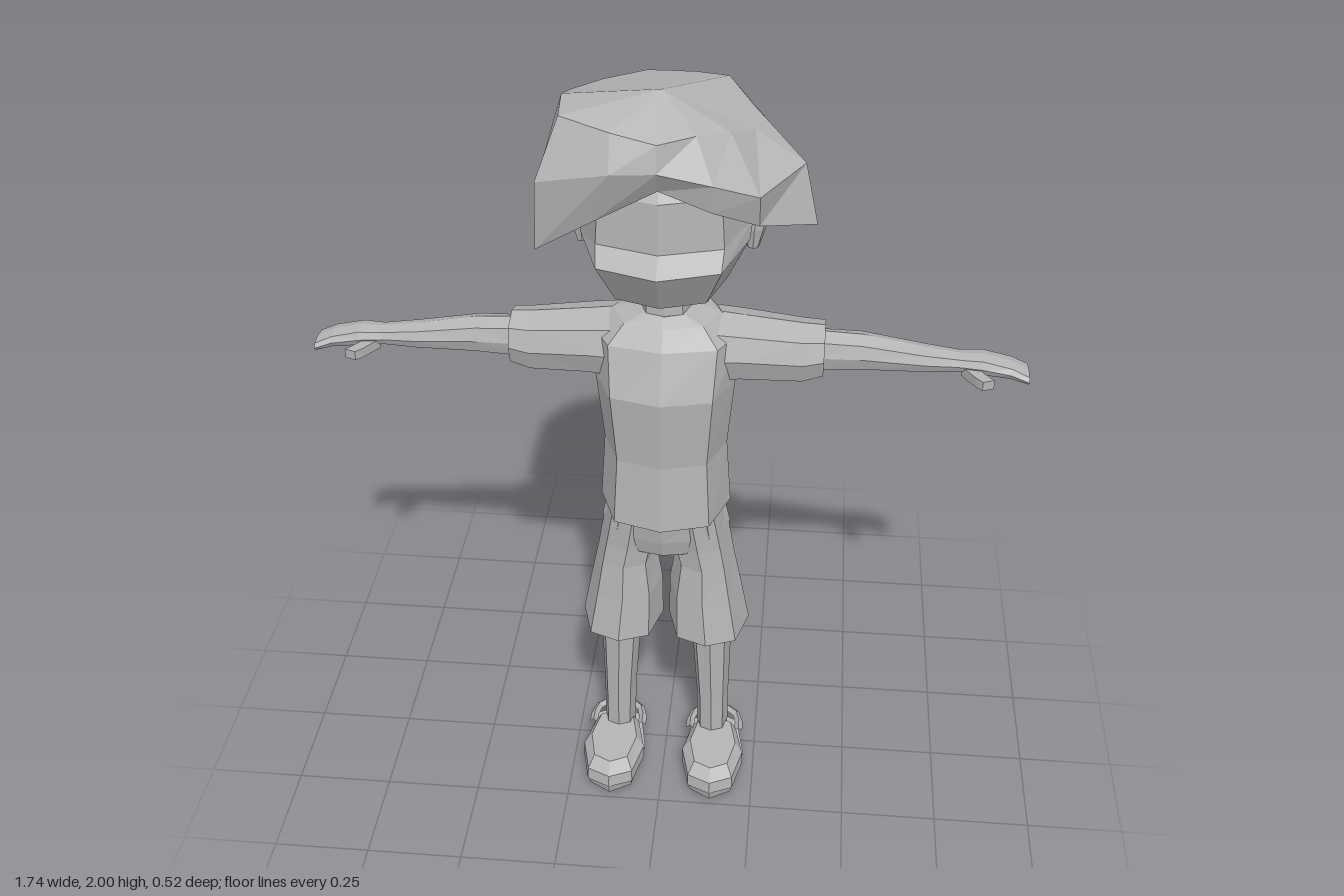
import * as THREE from 'three';

const OCT = [[0, 1], [0.72, 0.78], [1, 0], [0.72, -0.78], [0, -1], [-0.72, -0.78], [-1, 0], [-0.72, 0.78]];

// Eight-sided cross-section at t along an axis; the two ranges span the other axes
// (y: x and z, x: y and z)
function section(axis, t, a0, a1, b0, b1) {
  return OCT.map(([u, v]) => {
    const a = (a0 + a1) / 2 + u * (a1 - a0) / 2;
    const b = (b0 + b1) / 2 + v * (b1 - b0) / 2;
    return axis === 'y' ? [a, t, b] : [t, a, b];
  });
}

const centre = (ring) => [0, 1, 2].map((k) => ring.reduce((s, p) => s + p[k], 0) / ring.length);

// Closed, flat-faced skin through rings, turned outward by its signed volume
function loft(rings, start = centre(rings[0]), end = centre(rings.at(-1))) {
  const tris = [];
  const n = rings[0].length;
  const last = rings.at(-1);
  for (let i = 0; i < n; i++) {
    const j = (i + 1) % n;
    tris.push([start, rings[0][j], rings[0][i]], [end, last[i], last[j]]);
    for (let r = 0; r + 1 < rings.length; r++) {
      const a = rings[r], b = rings[r + 1];
      tris.push([a[i], a[j], b[j]], [a[i], b[j], b[i]]);
    }
  }
  let volume = 0;
  for (const t of tris) {
    const [a, b, c] = t.map((p) => new THREE.Vector3(p[0] - start[0], p[1] - start[1], p[2] - start[2]));
    volume += a.dot(b.cross(c));
  }
  if (volume < 0) tris.forEach((t) => t.reverse());
  const geometry = new THREE.BufferGeometry();
  geometry.setAttribute('position', new THREE.Float32BufferAttribute(tris.flat(2), 3));
  geometry.computeVertexNormals();
  return geometry;
}

const loftAlong = (axis, rows) => loft(rows.map((r) => section(axis, ...r)));

// Same skin on the other side of the body
const mirrorRows = (axis, rows, s) => rows.map(([t, a0, a1, b0, b1]) =>
  s > 0 ? [t, a0, a1, b0, b1] : axis === 'y' ? [t, -a1, -a0, b0, b1] : [-t, a0, a1, b0, b1]);

export function createModel() {
  const model = new THREE.Group();
  const grey = new THREE.MeshStandardMaterial({ color: 0xb4b4b4 });
  grey.name = 'plain grey';
  const add = (name, geometry) => {
    const mesh = new THREE.Mesh(geometry, grey);
    mesh.name = name;
    model.add(mesh);
    return mesh;
  };
  const addPair = (name, axis, rows) => {
    add('left' + name, loftAlong(axis, mirrorRows(axis, rows, 1)));
    add('right' + name, loftAlong(axis, mirrorRows(axis, rows, -1)));
  };

  // Shirt body and sleeves
  add('shirt', loftAlong('y', [
    [0.87, -0.165, 0.165, -0.14, 0.18], [1.05, -0.153, 0.153, -0.115, 0.165],
    [1.24, -0.17, 0.17, -0.1, 0.18], [1.36, -0.18, 0.18, -0.105, 0.135],
    [1.405, -0.13, 0.13, -0.1, 0.1], [1.425, -0.065, 0.065, -0.075, 0.075],
  ]));
  addPair('Sleeve', 'x', [
    [0.06, 1.22, 1.415, -0.095, 0.1], [0.18, 1.235, 1.395, -0.1, 0.085],
    [0.33, 1.225, 1.372, -0.1, 0.06], [0.38, 1.24, 1.368, -0.095, 0.05],
  ]);

  // Arms, flat hands and thumbs
  addPair('Arm', 'x', [
    [0.36, 1.24, 1.345, -0.08, 0.012], [0.47, 1.245, 1.335, -0.09, 0.005],
    [0.62, 1.252, 1.313, -0.075, 0.005], [0.71, 1.258, 1.302, -0.065, 0],
  ]);
  addPair('Hand', 'x', [
    [0.70, 1.258, 1.302, -0.065, 0], [0.76, 1.255, 1.305, -0.07, 0.008],
    [0.83, 1.25, 1.288, -0.07, 0.01], [0.872, 1.243, 1.27, -0.065, 0.018],
  ]);
  for (const [side, s] of [['left', 1], ['right', -1]]) {
    const thumb = [[0.725, -0.015], [0.745, 0.015], [0.758, 0.035], [0.772, 0.05]].map(([x, z]) =>
      [[-0.014, -0.012], [0.014, -0.012], [0.014, 0.012], [-0.014, 0.012]].map(([u, v]) =>
        [s * (x + u), 1.264 + v, z - u * 0.4]));
    add(side + 'Thumb', loft(thumb));
  }

  // Shorts
  add('shortsWaist', loftAlong('y', [
    [0.75, -0.16, 0.16, -0.095, 0.12], [0.80, -0.165, 0.165, -0.105, 0.135], [0.89, -0.145, 0.145, -0.11, 0.15],
  ]));
  addPair('ShortsLeg', 'y', [
    [0.475, 0.008, 0.222, -0.127, 0.145], [0.6, 0.01, 0.198, -0.11, 0.13],
    [0.7, 0.025, 0.178, -0.095, 0.12], [0.76, 0.012, 0.168, -0.095, 0.12], [0.86, 0.0, 0.15, -0.1, 0.13],
  ]);

  // Legs and open-heeled shoes with a heel strap
  addPair('Leg', 'y', [
    [0.03, 0.088, 0.172, -0.052, 0.058], [0.2, 0.085, 0.172, -0.055, 0.062], [0.55, 0.06, 0.178, -0.058, 0.075],
  ]);
  addPair('Sole', 'y', [[0, 0.06, 0.215, -0.07, 0.232], [0.035, 0.053, 0.222, -0.077, 0.242]]);
  addPair('ShoeUpper', 'y', [
    [0.03, 0.053, 0.222, -0.01, 0.242], [0.065, 0.054, 0.22, -0.01, 0.238], [0.09, 0.075, 0.2, 0, 0.205],
  ]);
  for (const [side, s] of [['left', 1], ['right', -1]]) {
    const path = new THREE.CatmullRomCurve3([[0.068, 0.03], [0.075, -0.035], [0.135, -0.073], [0.198, -0.035], [0.205, 0.03]]
      .map(([x, z]) => new THREE.Vector3(s * x, 0.066, z)));
    const strap = new THREE.TubeGeometry(path, 8, 0.011, 4).toNonIndexed();
    strap.computeVertexNormals();
    add(side + 'HeelStrap', strap);
  }

  // Neck, head with protruding muzzle, and ears
  add('neck', loftAlong('y', [[1.39, -0.062, 0.062, -0.05, 0.075], [1.48, -0.058, 0.058, -0.05, 0.07]]));
  add('head', loftAlong('y', [
    [1.455, -0.075, 0.075, -0.08, 0.07], [1.51, -0.145, 0.145, -0.14, 0.185],
    [1.62, -0.195, 0.195, -0.18, 0.26], [1.66, -0.2, 0.2, -0.185, 0.215],
    [1.78, -0.19, 0.19, -0.18, 0.21], [1.88, -0.12, 0.12, -0.12, 0.13],
  ]));
  addPair('Ear', 'y', [
    [1.57, 0.185, 0.215, -0.05, -0.01], [1.62, 0.175, 0.23, -0.065, 0.0], [1.68, 0.18, 0.238, -0.07, 0.0],
  ]);

  // Swept hair: lower edge, widest ring and upper ring, closing at the crown
  const lower = [
    [0, 1.815, 0.215], [0.12, 1.77, 0.22], [0.22, 1.72, 0.17], [0.347, 1.67, 0.05], [0.24, 1.665, -0.07],
    [0.18, 1.59, -0.18], [0.08, 1.56, -0.215], [-0.08, 1.56, -0.215], [-0.18, 1.59, -0.18],
    [-0.24, 1.67, -0.05], [-0.278, 1.66, 0.09], [-0.275, 1.655, 0.2], [-0.14, 1.74, 0.22],
  ];
  const middle = [
    [0, 1.87, 0.25], [0.12, 1.84, 0.235], [0.22, 1.8, 0.195], [0.315, 1.81, 0.03], [0.27, 1.8, -0.09],
    [0.19, 1.74, -0.2], [0.07, 1.73, -0.262], [-0.07, 1.73, -0.262], [-0.2, 1.76, -0.215],
    [-0.27, 1.8, -0.1], [-0.275, 1.8, 0.08], [-0.265, 1.83, 0.225], [-0.1, 1.87, 0.262],
  ];
  const upper = [
    [0, 1.93, 0.235], [0.08, 1.93, 0.18], [0.15, 1.915, 0.12], [0.2, 1.885, 0.03], [0.19, 1.9, -0.07],
    [0.13, 1.935, -0.15], [0.05, 1.93, -0.18], [-0.06, 1.93, -0.18], [-0.16, 1.92, -0.14],
    [-0.22, 1.93, -0.05], [-0.225, 1.965, 0.06], [-0.215, 1.965, 0.18], [-0.1, 1.95, 0.225],
  ];
  add('hair', loft([lower, middle, upper], [0, 1.8, 0], [0, 2, 0.1]));

  return model;
}
